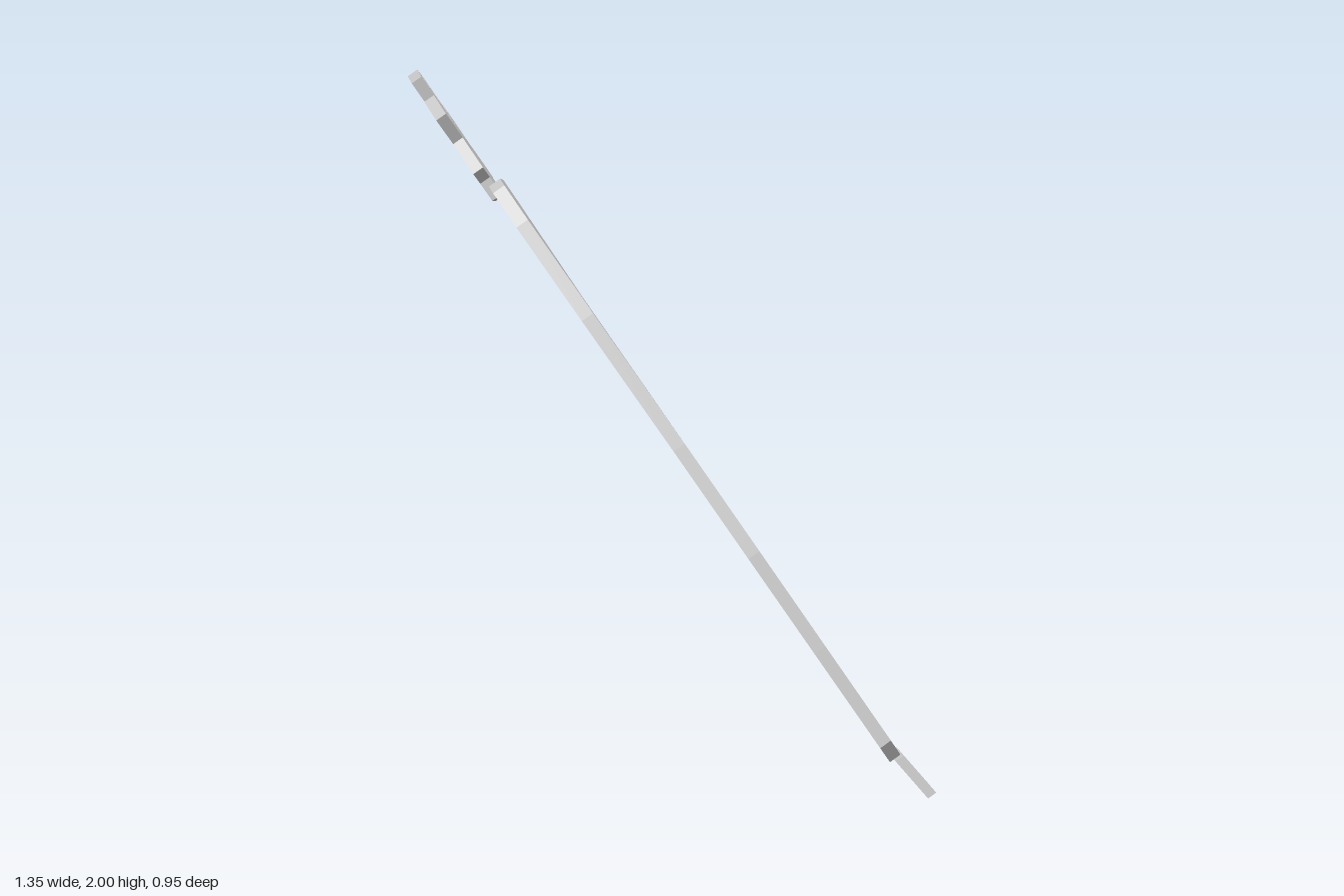
import * as THREE from 'three';

// Thin slab: outline given as [z, y] of its upper face, laid on a leaning, slightly twisted sheet.
function slab(name, outline, thickness, lift) {
  const shape = new THREE.Shape(outline.map(([z, y]) => new THREE.Vector2(-z, y)));
  const geometry = new THREE.ExtrudeGeometry(shape, { depth: 1, bevelEnabled: false });
  const p = geometry.attributes.position;
  for (let i = 0; i < p.count; i++) {
    const z = -p.getX(i), y = p.getY(i);
    const down = (1 - p.getZ(i)) * thickness;
    p.setXYZ(i, 0.66 * (1 - y) + lift(z, y) - 0.835 * down, y - 0.55 * down, z);
  }
  geometry.computeVertexNormals();
  const mesh = new THREE.Mesh(geometry,
    new THREE.MeshStandardMaterial({ color: 0xcccccc, flatShading: true }));
  mesh.name = name;
  return mesh;
}

export function createModel() {
  const group = new THREE.Group();
  group.name = 'leafyRoot';

  // Long tapering body
  group.add(slab('body', [
    [0.48, 0.28], [0.44, 0.55], [0.395, 0.81], [0.32, 1.09], [0.22, 1.42], [0.13, 1.65],
    [0.066, 1.73], [0.01, 1.74], [-0.35, 1.69], [-0.393, 1.645], [-0.398, 1.56],
    [-0.335, 1.16], [-0.234, 0.755], [-0.133, 0.45], [0, 0.213], [0.156, 0.133],
    [0.25, 0.133], [0.40, 0.197],
  ], 0.035, (z, y) => 0.015 - z * (0.06 + 0.05 * Math.max(0, y - 1.2))));

  // Fan of six blunt leaves at the top
  group.add(slab('leafCrown', [
    [0.01, 1.70], [0.01, 1.745], [0.05, 1.775], [-0.01, 1.845], [-0.075, 1.79],
    [0, 1.907], [-0.105, 1.945], [-0.165, 1.84],
    [-0.135, 1.99], [-0.247, 2.0], [-0.235, 1.835],
    [-0.30, 1.997], [-0.39, 1.975], [-0.315, 1.825],
    [-0.42, 1.90], [-0.475, 1.835], [-0.35, 1.765],
    [-0.432, 1.775], [-0.443, 1.688], [-0.35, 1.695], [-0.34, 1.65],
  ], 0.03, (z) => -0.008 - 0.08 * z));

  // Short stem at the foot
  group.add(slab('rootTip', [
    [0.312, 0.15], [0.33, 0.035], [0.28, 0.016], [0.257, 0.15],
  ], 0.028, (z, y) => 0.027 - 0.15 * y));

  return group;
}
